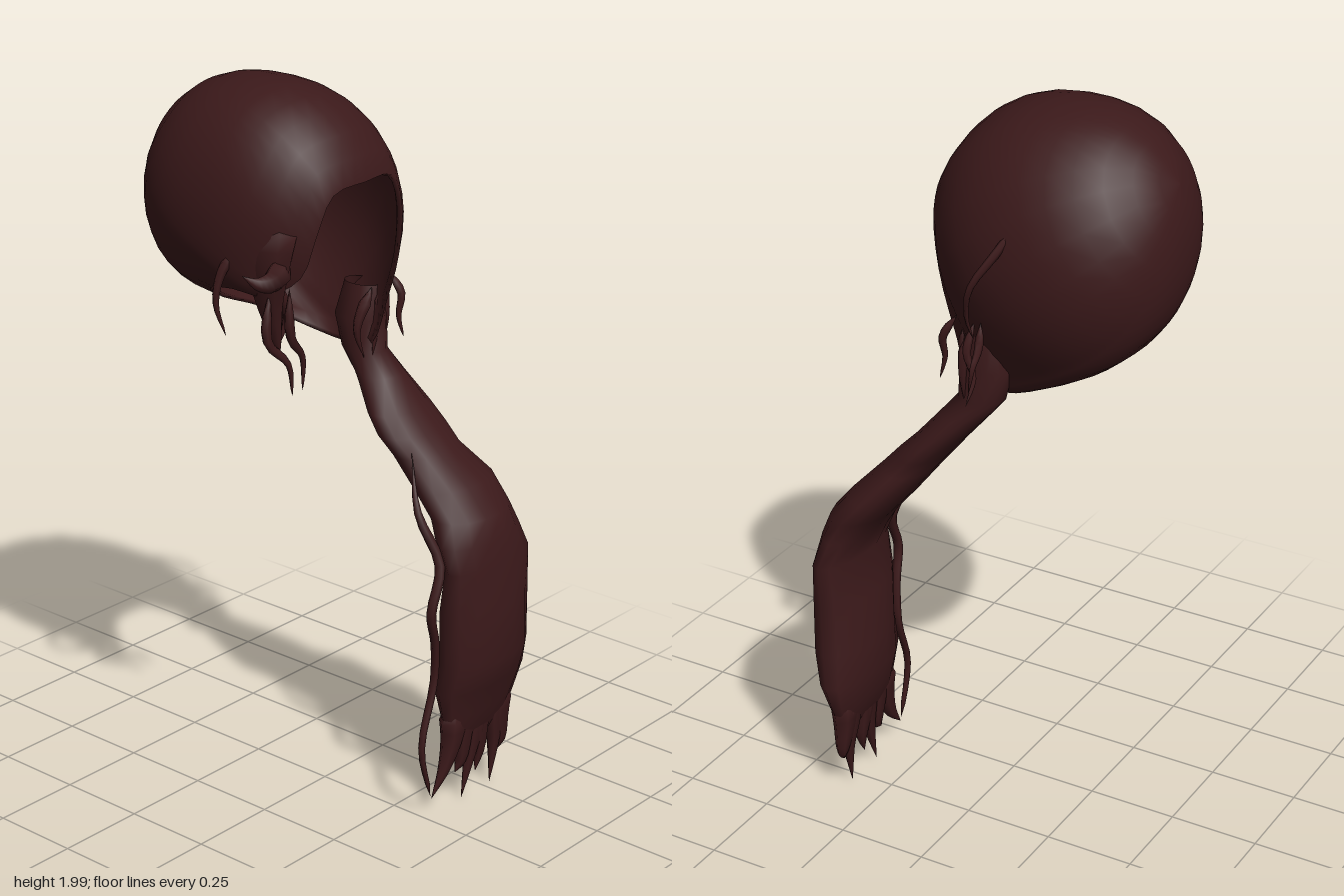
import * as THREE from 'three';

const V = (x, y, z) => new THREE.Vector3(x, y, z);

// Skin a list of closed rings of points
function loft(rings) {
  const n = rings[0].length, index = [];
  for (let i = 0; i < rings.length - 1; i++) {
    for (let j = 0; j < n; j++) {
      const k = (j + 1) % n, a = i * n + j, b = a + n, c = b - j + k, d = i * n + k;
      index.push(a, b, d, b, c, d);
    }
  }
  const g = new THREE.BufferGeometry().setFromPoints(rings.flat());
  g.setIndex(index);
  g.computeVertexNormals();
  return g;
}

// Tapered lock of hair: wide across the path, with its own thickness
function lock(points, width, thick, taper = 0.7, steps = 10, sides = 6) {
  const curve = new THREE.CatmullRomCurve3(points.map(p => V(...p)));
  const rings = [];
  for (let i = 0; i <= steps; i++) {
    const t = i / steps, p = curve.getPoint(t), tan = curve.getTangent(t);
    const side = tan.clone().cross(V(0, 0, 1)).normalize();
    const out = tan.clone().cross(side);
    const s = Math.max(0.01, Math.min(1, t * 5) * Math.pow(1 - t, taper));
    rings.push(Array.from({ length: sides }, (_, j) => {
      const a = j / sides * Math.PI * 2;
      return p.clone().addScaledVector(side, Math.cos(a) * width * s)
        .addScaledVector(out, -Math.sin(a) * thick * s);
    }));
  }
  return loft(rings);
}

// Head shape in a given direction: oval from the front, fuller from the side
const centre = V(-0.05, 1.65, -0.135);
function skull(d) {
  const e = 2.3;
  const r = Math.pow(Math.hypot(d.x / 0.3, d.y / 0.35) ** e + Math.abs(d.z / 0.333) ** e, -1 / e);
  const p = d.clone().multiplyScalar(r);
  p.x -= 0.1 * p.y;
  return p.add(centre);
}

// Cap swept from the back of the head to the hairline, then back inside
function capGeometry() {
  const hairline = new THREE.CatmullRomCurve3([
    [-0.07, 1.775, 0.195], [0.04, 1.77, 0.19], [0.08, 1.69, 0.19], [0.1, 1.54, 0.165],
    [0.13, 1.39, 0.1], [0.12, 1.27, 0.06], [0.13, 1.25, -0.04], [0.1, 1.275, -0.15],
    [0.03, 1.325, -0.24], [-0.1, 1.38, -0.27], [-0.24, 1.46, -0.18], [-0.3, 1.5, -0.05],
    [-0.29, 1.5, 0.06], [-0.24, 1.55, 0.13], [-0.22, 1.66, 0.165], [-0.18, 1.76, 0.185]
  ].map(p => V(...p)), true);
  const pole = V(0, 0.52, -0.85).normalize();
  const edges = hairline.getPoints(48).slice(0, 48);
  const ring = (t, scale) => edges.map(edge => {
    const de = edge.clone().sub(centre).normalize();
    const A = pole.angleTo(de);
    const d = pole.clone().multiplyScalar(Math.sin((1 - t) * A) / Math.sin(A))
      .addScaledVector(de, Math.sin(t * A) / Math.sin(A)).normalize();
    const p = skull(d).addScaledVector(edge.clone().sub(skull(de)), t ** 4);
    return p.sub(centre).multiplyScalar(scale).add(centre);
  });
  const rings = [];
  for (let i = 0; i <= 12; i++) rings.push(ring(i / 12, 1));
  for (let i = 12; i >= 0; i--) rings.push(ring(i / 12, 0.96));
  return loft(rings);
}

// Ponytail from level cross-sections: y, x min, x max, z back, z front
function ponytailGeometry() {
  const sections = [
    [1.42, 0.12, 0.19, -0.06, 0.05], [1.33, 0.09, 0.21, -0.08, 0.07],
    [1.24, 0.10, 0.21, -0.06, 0.07], [1.18, 0.09, 0.23, -0.01, 0.12],
    [1.1, 0.05, 0.26, 0.06, 0.19], [1.05, 0.04, 0.27, 0.1, 0.24], [1.0, 0.055, 0.275, 0.14, 0.285],
    [0.92, 0.06, 0.33, 0.20, 0.36], [0.85, 0.06, 0.33, 0.26, 0.42], [0.79, 0.04, 0.345, 0.3, 0.44],
    [0.72, 0.045, 0.37, 0.33, 0.45], [0.6, 0.04, 0.37, 0.31, 0.46],
    [0.45, 0.05, 0.37, 0.30, 0.465], [0.36, 0.045, 0.39, 0.30, 0.43],
    [0.28, 0.07, 0.365, 0.315, 0.405], [0.22, 0.07, 0.34, 0.335, 0.385],
    [0.18, 0.1, 0.32, 0.357, 0.365]
  ];
  return loft(sections.map(([y, x0, x1, z0, z1]) => Array.from({ length: 14 }, (_, j) => {
    const a = j / 14 * Math.PI * 2;
    return V((x0 + x1) / 2 + Math.cos(a) * (x1 - x0) / 2, y, (z0 + z1) / 2 - Math.sin(a) * (z1 - z0) / 2);
  })));
}

export function createModel() {
  const model = new THREE.Group();
  const hair = new THREE.MeshStandardMaterial({ color: 0x3b191a, side: THREE.DoubleSide });
  hair.name = 'dark brown hair';
  const add = (name, geometry) => {
    const mesh = new THREE.Mesh(geometry, hair);
    mesh.name = name;
    model.add(mesh);
  };
  add('cap', capGeometry());
  add('ponytail', ponytailGeometry());

  // Pointed ends of the ponytail
  [[0.11, 0.025, 0.06], [0.15, 0.125, 0.1], [0.2, 0.155, 0.01], [0.22, 0.215, 0.07], [0.285, 0.28, 0.01], [0.31, 0.315, 0.1]]
    .forEach(([x, tx, ty]) => add('ponytailTip',
      lock([[x, 0.34, 0.36], [x, 0.22, 0.36], [(x + tx) / 2 + 0.01, 0.13, 0.36], [tx, ty, 0.36]], 0.06, 0.04, 0.9)));

  // Loose wavy strand beside the ponytail
  add('ponytailStrand', lock([[0.07, 1.02, 0.24], [0.025, 0.88, 0.3], [0.045, 0.74, 0.36], [0.0, 0.62, 0.37],
    [0.03, 0.52, 0.36], [0.04, 0.4, 0.35], [-0.02, 0.23, 0.36], [0.02, 0.07, 0.36]], 0.015, 0.015, 0.25, 28));

  // Right temple lock with its flick and wisps
  add('rightTempleLock', lock([[-0.24, 1.72, 0.03], [-0.275, 1.6, 0.05], [-0.275, 1.48, 0.055], [-0.265, 1.34, 0.08]], 0.055, 0.11, 0.8, 10, 8));
  add('rightFlick', lock([[-0.25, 1.6, 0.1], [-0.31, 1.555, 0.1], [-0.355, 1.555, 0.09], [-0.39, 1.58, 0.07]], 0.05, 0.035, 1));
  [
    [[-0.3, 1.62, -0.02], [-0.345, 1.56, -0.04], [-0.365, 1.48, -0.045], [-0.345, 1.39, -0.03]],
    [[-0.29, 1.52, 0.07], [-0.31, 1.39, 0.08], [-0.255, 1.32, 0.1], [-0.24, 1.23, 0.1]],
    [[-0.25, 1.52, 0.1], [-0.245, 1.39, 0.1], [-0.19, 1.32, 0.09], [-0.19, 1.23, 0.09]],
    [[-0.26, 1.54, 0.06], [-0.22, 1.46, 0.06], [-0.21, 1.41, 0.05], [-0.23, 1.36, 0.05]]
  ].forEach(p => add('rightWisp', lock(p, 0.018, 0.015, 0.6, 12)));

  // Left side strands
  [
    [[0.19, 1.76, -0.12], [0.25, 1.69, -0.09], [0.295, 1.61, -0.045], [0.275, 1.52, -0.02], [0.24, 1.44, -0.02]],
    [[0.22, 1.48, -0.03], [0.25, 1.42, -0.04], [0.295, 1.39, -0.05], [0.3, 1.32, -0.04]],
    [[0.2, 1.47, 0.0], [0.24, 1.4, 0.0], [0.24, 1.33, -0.02], [0.28, 1.27, -0.02]],
    [[0.17, 1.46, 0.07], [0.19, 1.4, 0.1], [0.18, 1.34, 0.1], [0.19, 1.28, 0.11]]
  ].forEach(p => add('leftStrand', lock(p, 0.016, 0.013, 0.6, 12)));

  // Short ends around the gathered neck of the ponytail
  [[0.13, 0.05, 0.07, 0.1], [0.16, 0.06, 0.14, 0.12], [0.19, 0.03, 0.21, 0.2]].forEach(([x, z, mx, tx]) =>
    add('gatherEnd', lock([[x, 1.42, z], [mx, 1.32, z], [tx, 1.23, z]], 0.025, 0.018, 0.9)));
  return model;
}
